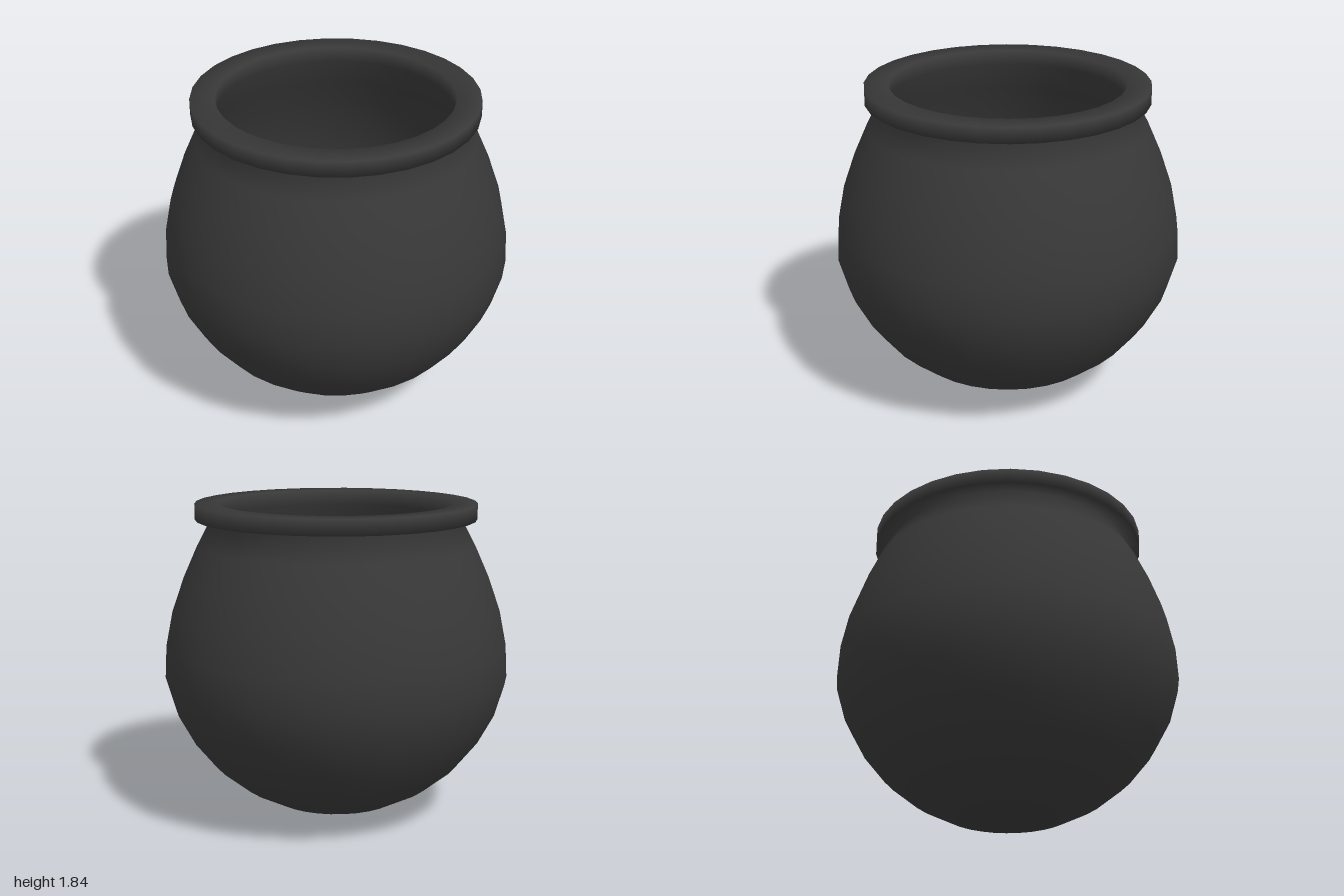
import * as THREE from 'three';

const SEGMENTS = 32;
const WALL = 0.055;

export function createModel() {
  const iron = new THREE.MeshStandardMaterial({ color: 0x383838 });
  iron.name = 'dark iron';

  // Outer belly, from the bottom centre up to the neck
  const belly = [
    [0, 0], [0.195, 0.025], [0.385, 0.085], [0.565, 0.18], [0.725, 0.31],
    [0.85, 0.465], [0.945, 0.64], [1, 0.83], [0.99, 1.02], [0.95, 1.22],
    [0.88, 1.42], [0.8, 1.6], [0.72, 1.75],
  ].map(([r, y]) => new THREE.Vector2(r, y));

  // Square-edged rim overhanging the neck
  const rim = [[0.81, 1.75], [0.81, 1.84], [0.67, 1.84]]
    .map(([r, y]) => new THREE.Vector2(r, y));

  // Inner wall: the belly moved inward by the wall thickness, top to bottom
  const inner = belly.map((p, i) => {
    const a = belly[Math.max(i - 1, 0)];
    const b = belly[Math.min(i + 1, belly.length - 1)];
    const n = new THREE.Vector2(a.y - b.y, b.x - a.x).normalize();
    return i === 0
      ? new THREE.Vector2(0, WALL)
      : new THREE.Vector2(p.x + n.x * WALL, p.y + n.y * WALL);
  }).reverse();
  inner[0].set(0.67, 1.75);

  // One smooth turned surface, so belly, rim and inside blend together
  const pot = new THREE.Mesh(
    new THREE.LatheGeometry([...belly, ...rim, ...inner], SEGMENTS), iron);
  pot.name = 'potWithRim';

  const model = new THREE.Group();
  model.name = 'cauldron';
  model.add(pot);
  return model;
}
